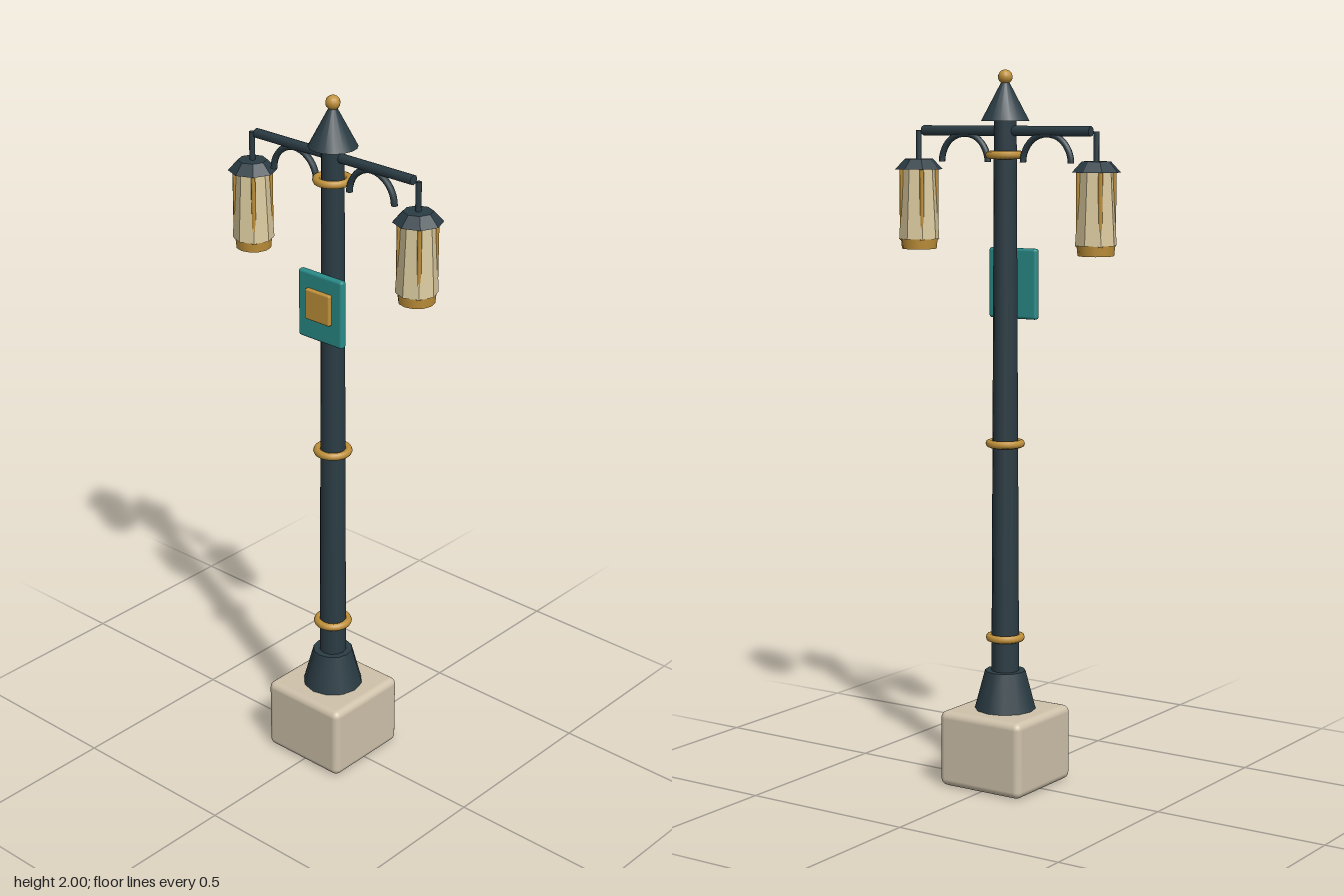
import * as THREE from 'three';
import { RoundedBoxGeometry } from 'three/addons/geometries/RoundedBoxGeometry.js';

const material = (name, color, flatShading = false) => {
  const m = new THREE.MeshStandardMaterial({ color, flatShading });
  m.name = name;
  return m;
};

export function createModel() {
  const iron = material('dark iron', 0x2b3c44);
  const ironFacets = material('dark iron facets', 0x2b3c44, true);
  const brass = material('brass', 0xc0913a);
  const glass = material('cream glass', 0xdccb9f, true);
  const stone = material('pale stone', 0xcfc2ab);
  const teal = material('teal paint', 0x2a8c89);

  const model = new THREE.Group();
  model.name = 'streetLamp';

  const add = (parent, name, geometry, mat, x = 0, y = 0, z = 0) => {
    const mesh = new THREE.Mesh(geometry, mat);
    mesh.name = name;
    mesh.position.set(x, y, z);
    parent.add(mesh);
    return mesh;
  };
  // Upright tapered cylinder given by its bottom and top heights
  const column = (parent, name, mat, rBottom, rTop, y0, y1, sides, x = 0, z = 0) =>
    add(parent, name, new THREE.CylinderGeometry(rTop, rBottom, y1 - y0, sides), mat, x, (y0 + y1) / 2, z);

  // Plinth, foot and post
  add(model, 'plinth', new RoundedBoxGeometry(0.27, 0.215, 0.27, 3, 0.02), stone, 0, 0.1125, 0);
  model.getObjectByName('plinth').position.y = 0.1125;
  column(model, 'foot', iron, 0.086, 0.057, 0.22, 0.33, 12);
  column(model, 'post', iron, 0.039, 0.031, 0.32, 1.87, 12);

  // Brass collars
  for (const y of [0.425, 0.975, 1.77]) {
    const collar = add(model, 'collar', new THREE.TorusGeometry(0.044, 0.011, 8, 24), brass, 0, y, 0);
    collar.rotation.x = Math.PI / 2;
  }

  // Roof cone and finial
  column(model, 'roofCone', iron, 0.067, 0.008, 1.862, 1.972, 16);
  add(model, 'finial', new THREE.SphereGeometry(0.02, 14, 10), brass, 0, 1.98, 0);

  // Crossbar
  const bar = add(model, 'crossbar', new THREE.CylinderGeometry(0.014, 0.014, 0.55, 8), iron, 0, 1.835, 0);
  bar.rotation.z = Math.PI / 2;

  for (const side of [-1, 1]) {
    // Arched bracket under the crossbar
    add(model, 'archBracket', new THREE.TorusGeometry(0.077, 0.009, 8, 20, Math.PI), iron, side * 0.135, 1.75, 0);

    // Hanging lantern
    const lantern = new THREE.Group();
    lantern.name = side > 0 ? 'leftLantern' : 'rightLantern';
    lantern.position.x = side * 0.292;
    model.add(lantern);
    column(lantern, 'hanger', iron, 0.008, 0.008, 1.745, 1.835, 8);
    column(lantern, 'lanternRoof', ironFacets, 0.067, 0.04, 1.727, 1.756, 8);
    column(lantern, 'lanternGlass', glass, 0.057, 0.046, 1.533, 1.727, 8);
    column(lantern, 'lanternBase', brass, 0.049, 0.052, 1.505, 1.535, 12);
    for (let i = 0; i < 4; i++) {
      const a = Math.PI / 4 + i * Math.PI / 2;
      column(lantern, 'lanternRib', brass, 0.006, 0.006, 1.53, 1.73, 6, 0.049 * Math.cos(a), 0.049 * Math.sin(a));
    }
  }

  // Sign board with a raised brass panel on the front
  add(model, 'signBoard', new RoundedBoxGeometry(0.157, 0.195, 0.021, 2, 0.008), teal, 0, 1.417, 0.043);
  add(model, 'signPanel', new RoundedBoxGeometry(0.088, 0.088, 0.016, 2, 0.005), brass, 0, 1.425, 0.058);

  return model;
}
